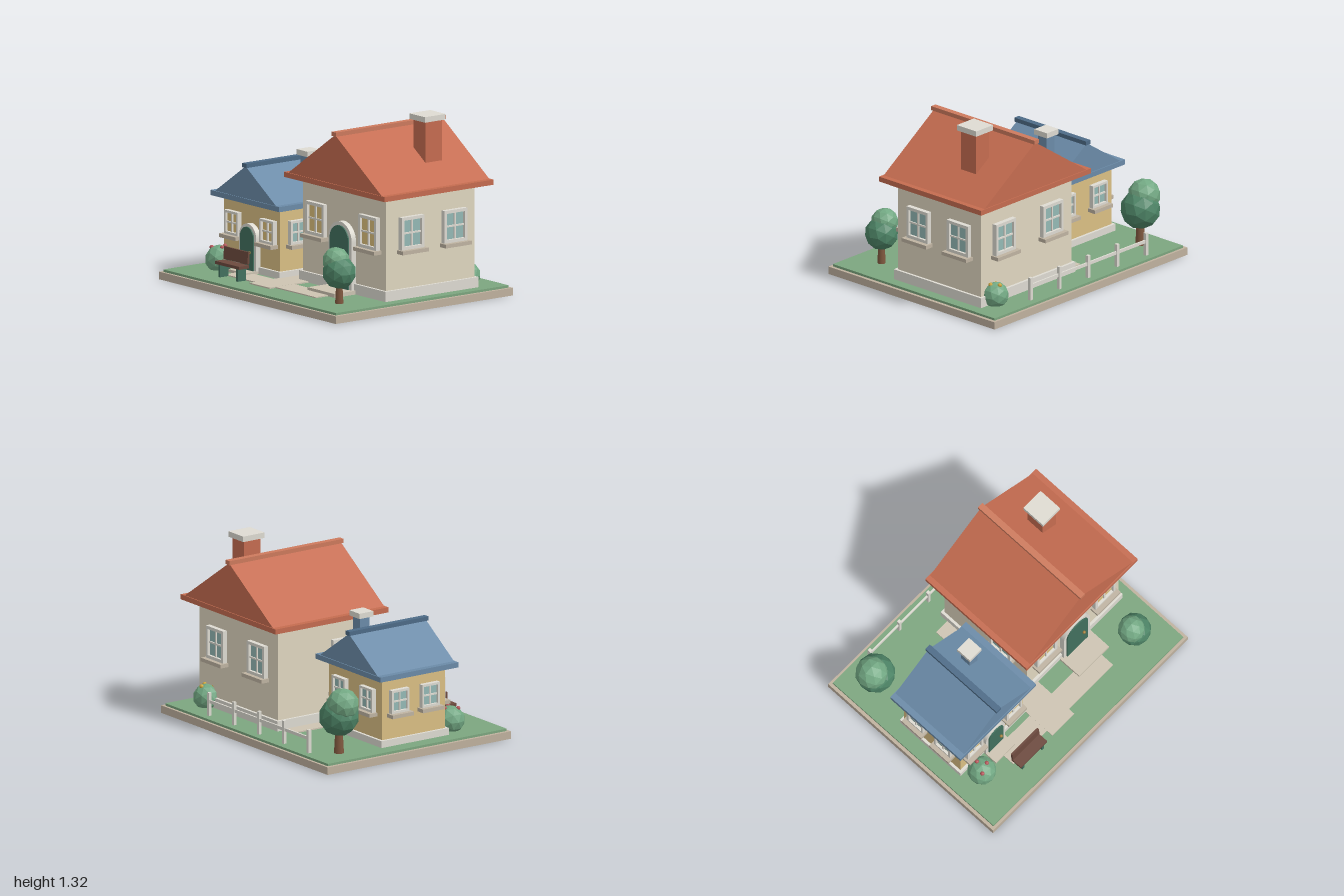
import * as THREE from 'three';

const mat = (color, flatShading = false) => new THREE.MeshStandardMaterial({ color, flatShading });
const M = {
  stone: mat(0xdedbd2), earth: mat(0xbfb19e), grass: mat(0x7ca67f), path: mat(0xcdc4b2),
  cream: mat(0xe0d7c0), yellow: mat(0xdabf84), red: mat(0xc56c50), redRidge: mat(0xcd7a5d),
  blue: mat(0x6b8ba8), blueRidge: mat(0x4d6b87), door: mat(0x42705e), sill: mat(0xbfb4a2),
  warm: mat(0xddc07c), cool: mat(0x94b9b5), brass: mat(0xa8803c), wood: mat(0x6d4a3e), bark: mat(0x80583f),
  leafDark: mat(0x4d8466, true), leafLight: mat(0x72a883, true), bush: mat(0x72a883, true),
  rose: mat(0xb5565a), gold: mat(0xd0a840),
};

function add(parent, name, geometry, material, x = 0, y = 0, z = 0) {
  const mesh = new THREE.Mesh(geometry, material);
  mesh.name = name;
  mesh.position.set(x, y, z);
  parent.add(mesh);
  return mesh;
}

// Box given by its minimum and maximum on each axis
function box(parent, name, material, x0, x1, y0, y1, z0, z1) {
  return add(parent, name, new THREE.BoxGeometry(x1 - x0, y1 - y0, z1 - z0), material,
    (x0 + x1) / 2, (y0 + y1) / 2, (z0 + z1) / 2);
}

function group(parent, name, x = 0, y = 0, z = 0, turn = 0) {
  const g = new THREE.Group();
  g.name = name;
  g.position.set(x, y, z);
  g.rotation.y = turn;
  parent.add(g);
  return g;
}

const extrude = (shape, depth) =>
  new THREE.ExtrudeGeometry(shape, { depth, bevelEnabled: false, curveSegments: 16 });

function rectangle(Type, w, h) {
  const s = new Type();
  s.moveTo(-w / 2, -h / 2);
  s.lineTo(w / 2, -h / 2);
  s.lineTo(w / 2, h / 2);
  s.lineTo(-w / 2, h / 2);
  s.closePath();
  return s;
}

// Window facing +z, with its wall at z = 0
function addWindow(parent, x, y, z, turn, w, h, glass) {
  const g = group(parent, 'window', x, y, z, turn);
  const border = w * 0.11;
  const frame = rectangle(THREE.Shape, w, h);
  frame.holes.push(rectangle(THREE.Path, w - 2 * border, h - 2 * border));
  add(g, 'windowFrame', extrude(frame, 0.035), M.stone);
  box(g, 'glass', glass, -w / 2 + border, w / 2 - border, -h / 2 + border, h / 2 - border, 0, 0.015);
  box(g, 'uprightBar', M.stone, -0.006, 0.006, -h / 2 + border, h / 2 - border, 0, 0.026);
  box(g, 'crossBar', M.stone, -w / 2 + border, w / 2 - border, -0.006, 0.006, 0, 0.025);
  box(g, 'windowSill', M.sill, -w / 2 - 0.016, w / 2 + 0.016, -h / 2 - 0.027, -h / 2, 0, 0.068);
}

function archShape(Type, r, height) {
  const s = new Type();
  s.moveTo(-r, 0);
  s.lineTo(r, 0);
  s.lineTo(r, height - r);
  s.absarc(0, height - r, r, 0, Math.PI, false);
  s.closePath();
  return s;
}

// Arched door with surround and knob
function addDoor(parent, x, y, z, r, height, border, knobY) {
  const g = group(parent, 'door', x, y, z);
  add(g, 'doorSurround', extrude(archShape(THREE.Shape, r + border, height + border), 0.04), M.stone);
  add(g, 'doorLeaf', extrude(archShape(THREE.Shape, r, height), 0.05), M.door);
  add(g, 'doorKnob', new THREE.SphereGeometry(0.012, 12, 8), M.brass, r * 0.53, knobY - y, 0.058);
}

// House shell: foundation, walls, gable roof, ridge and chimney
function addHouse(parent, name, o) {
  const g = group(parent, name);
  const [x0, x1, z0, z1] = o.walls, [e0, e1, f0, f1] = o.eaves, [c0, c1, d0, d1] = o.chimney;
  const cx = (e0 + e1) / 2, lip = 0.02, k = o.cap;
  box(g, 'foundation', M.stone, x0 - 0.02, x1 + 0.02, 0.07, o.footTop, z0 - 0.02, z1 + 0.02);
  box(g, 'walls', o.wall, x0, x1, 0.07, o.eaveY, z0, z1);
  box(g, 'eaves', o.roof, e0, e1, o.eaveY, o.eaveY + 0.037, f0, f1);
  const gable = new THREE.Shape();
  gable.moveTo(e0 + o.inset, o.eaveY + 0.037);
  gable.lineTo(e1 - o.inset, o.eaveY + 0.037);
  gable.lineTo(cx, o.apex);
  gable.closePath();
  add(g, 'gableRoof', extrude(gable, f1 - f0 - 0.014), o.roof, 0, 0, f0 + 0.007);
  box(g, 'roofRidge', o.ridge, cx - 0.023, cx + 0.023, o.apex - 0.008, o.apex + 0.022, f0 - 0.005, f1 + 0.005);
  box(g, 'chimney', o.roof, c0, c1, o.eaveY + 0.03, o.stackTop, d0, d1);
  box(g, 'chimneyCap', M.stone, c0 - k, c1 + k, o.stackTop, o.stackTop + lip + k, d0 - k, d1 + k);
  return g;
}

function addTree(parent, x, z, scale) {
  const g = group(parent, 'tree', x, 0.07, z);
  g.scale.setScalar(scale);
  add(g, 'trunk', new THREE.CylinderGeometry(0.021, 0.03, 0.16, 8), M.bark, 0, 0.08, 0);
  add(g, 'lowerFoliage', new THREE.IcosahedronGeometry(0.12, 1), M.leafDark, 0, 0.225, 0);
  add(g, 'upperFoliage', new THREE.IcosahedronGeometry(0.098, 1), M.leafLight, -0.035, 0.305, 0.002);
}

function addBush(parent, x, z, r, flower) {
  const g = group(parent, 'bush', x, 0.07 + r * 0.68, z);
  add(g, 'bushFoliage', new THREE.IcosahedronGeometry(r, 1), M.bush);
  for (const [dx, dy, dz] of [[0, 0.86, -0.45], [-0.36, 0.82, 0.4], [0.38, 0.86, 0.1]]) {
    add(g, 'flower', new THREE.SphereGeometry(0.016, 8, 6), flower, dx * r, dy * r, dz * r);
  }
}

export function createModel() {
  const model = new THREE.Group();
  model.name = 'cottageGarden';

  // Plot and paths
  box(model, 'base', M.earth, -1, 1, 0, 0.055, -0.8, 0.8);
  box(model, 'lawn', M.grass, -0.975, 0.975, 0.055, 0.072, -0.78, 0.78);
  box(model, 'frontPath', M.path, -0.545, 0.48, 0.07, 0.08, 0.4, 0.567);
  box(model, 'sidePath', M.path, -0.2, 0.025, 0.07, 0.081, -0.51, 0.62);
  box(model, 'largeDoorstep', M.path, 0.25, 0.555, 0.07, 0.1, 0.26, 0.455);
  box(model, 'smallDoorstep', M.path, -0.625, -0.43, 0.07, 0.092, 0.34, 0.475);

  // Large house
  const large = addHouse(model, 'largeHouse', {
    walls: [-0.065, 0.875, -0.553, 0.247], eaves: [-0.165, 0.973, -0.647, 0.338],
    chimney: [0.594, 0.73, -0.372, -0.225], cap: 0.02, stackTop: 1.28, footTop: 0.146,
    eaveY: 0.813, apex: 1.205, inset: 0.042, wall: M.cream, roof: M.red, ridge: M.redRidge,
  });
  addDoor(large, 0.404, 0.1, 0.247, 0.105, 0.45, 0.027, 0.3);
  const wl = 0.205, hl = 0.235, yl = 0.545;
  for (const x of [0.107, 0.704]) addWindow(large, x, yl, 0.247, 0, wl, hl, M.warm);
  for (const x of [0.16, 0.65]) addWindow(large, x, yl, -0.553, Math.PI, wl, hl, M.cool);
  for (const z of [0.03, -0.357]) addWindow(large, 0.875, yl, z, Math.PI / 2, wl, hl, M.cool);
  addWindow(large, -0.065, yl, 0.01, -Math.PI / 2, wl, hl, M.cool);

  // Small house
  const small = addHouse(model, 'smallHouse', {
    walls: [-0.845, -0.21, -0.212, 0.337], eaves: [-0.915, -0.138, -0.278, 0.403],
    chimney: [-0.398, -0.315, -0.08, 0.004], cap: 0.019, stackTop: 0.893, footTop: 0.122,
    eaveY: 0.57, apex: 0.838, inset: 0.045, wall: M.yellow, roof: M.blue, ridge: M.blueRidge,
  });
  addDoor(small, -0.527, 0.092, 0.337, 0.074, 0.308, 0.022, 0.22);
  const ws = 0.155, hs = 0.17, ys = 0.395;
  for (const x of [-0.725, -0.325]) addWindow(small, x, ys, 0.337, 0, ws, hs, M.warm);
  for (const x of [-0.693, -0.363]) addWindow(small, x, ys, -0.212, Math.PI, ws, hs, M.cool);
  for (const z of [-0.075, 0.19]) {
    addWindow(small, -0.845, ys, z, -Math.PI / 2, ws, hs, M.cool);
    addWindow(small, -0.21, ys, z, Math.PI / 2, ws, hs, M.cool);
  }

  // Garden plants
  addTree(model, 0.722, 0.547, 1);
  addTree(model, -0.785, -0.545, 1.2);
  addBush(model, -0.748, 0.452, 0.105, M.rose);
  addBush(model, 0.755, -0.58, 0.097, M.gold);

  // Back fence
  const fence = group(model, 'fence', 0, 0, -0.715);
  for (let i = 0; i < 5; i++) {
    const x = -0.66 + i * 0.299;
    box(fence, 'fencePost', M.stone, x - 0.012, x + 0.012, 0.07, 0.24, -0.012, 0.012);
  }
  box(fence, 'fenceRail', M.stone, -0.66, 0.536, 0.165, 0.188, -0.006, 0.006);

  // Bench
  const bench = group(model, 'bench', -0.419, 0, 0.6);
  box(bench, 'seat', M.wood, -0.136, 0.136, 0.163, 0.185, -0.04, 0.048);
  const rest = box(bench, 'backrest', M.wood, -0.136, 0.136, 0.19, 0.28, -0.045, -0.029);
  rest.rotation.x = -0.06;
  for (const s of [-1, 1]) {
    box(bench, 'benchLeg', M.door, s * 0.1 - 0.01, s * 0.1 + 0.01, 0.07, 0.165, -0.035, 0.04);
    box(bench, 'backrestPost', M.door, s * 0.1 - 0.008, s * 0.1 + 0.008, 0.165, 0.24, -0.045, -0.033);
  }
  return model;
}
